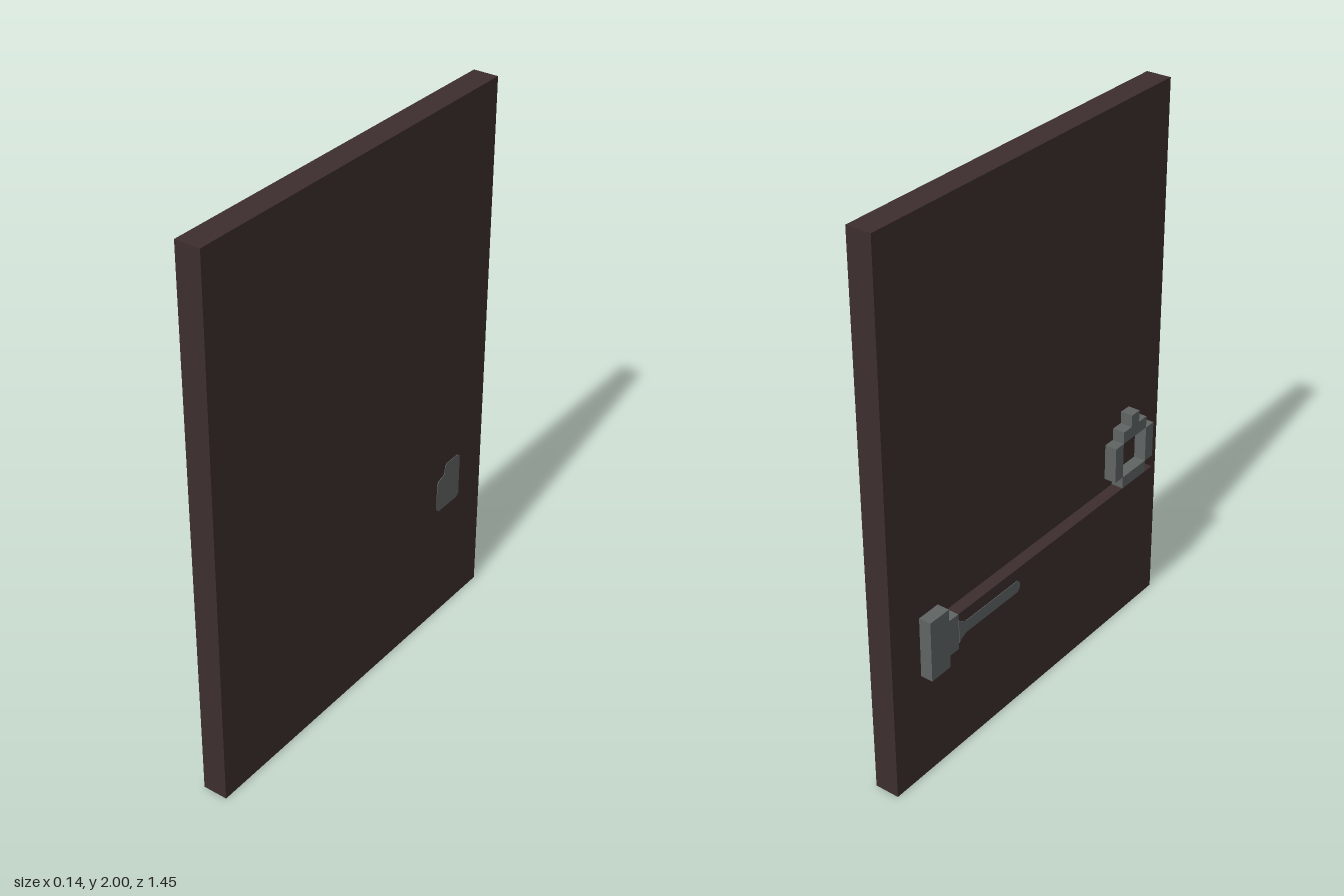
import * as THREE from 'three';

const U = 1 / 22; // one grid cell

export function createModel() {
  const wood = new THREE.MeshStandardMaterial({ color: 0x3e2e2e });
  wood.name = 'dark wood';
  const iron = new THREE.MeshStandardMaterial({ color: 0x606564 });
  iron.name = 'grey iron';

  const model = new THREE.Group();
  model.name = 'door';

  // Box given by its limits in grid cells
  function block(name, material, [x0, x1], [y0, y1], [z0, z1], parent = model) {
    const geometry = new THREE.BoxGeometry((x1 - x0) * U, (y1 - y0) * U, (z1 - z0) * U);
    const mesh = new THREE.Mesh(geometry, material);
    mesh.position.set((x0 + x1) / 2 * U, (y0 + y1) / 2 * U, (z0 + z1) / 2 * U);
    mesh.name = name;
    parent.add(mesh);
  }

  // Thin inlay with a (z, y) outline, its inner face at x
  function inlay(name, x, outline) {
    const depth = 0.002;
    const shape = new THREE.Shape(outline.map(([z, y]) => new THREE.Vector2(z * U, y * U)));
    const geometry = new THREE.ExtrudeGeometry(shape, { depth, bevelEnabled: false });
    geometry.rotateY(-Math.PI / 2);
    const mesh = new THREE.Mesh(geometry, iron);
    mesh.position.x = x > 0 ? x * U + depth : x * U;
    mesh.name = name;
    model.add(mesh);
  }

  const raised = [-1.5, -0.5];

  // Door leaf and the raised bar across it
  block('doorPanel', wood, [-0.5, 1.5], [0, 44], [-16, 16]);
  block('crossBar', wood, raised, [10, 13], [-10, 14]);

  // Strap hinge: upright plate, collar and long tongue
  block('hingePlate', iron, raised, [9, 14], [-13, -11]);
  block('hingeCollar', iron, raised, [10, 13], [-11, -10]);
  inlay('hingeTongue', -1.5, [
    [-10, 10.5], [-9.75, 10.75], [-9.25, 11], [-3.3, 11], [-3, 11.3],
    [-3, 11.7], [-3.3, 12], [-9.25, 12], [-9.75, 12.25], [-10, 12.5],
  ]);

  // Iron patch on the other face
  inlay('hingePatch', 1.5, [
    [-12.75, 10], [-10.25, 10], [-10, 10.25], [-10, 12.65], [-10.25, 12.9],
    [-10.75, 13], [-11, 13.25], [-11, 13.75], [-11.25, 14], [-12.75, 14],
    [-13, 13.75], [-13, 10.25],
  ]);

  // Stepped ring handle
  const handle = new THREE.Group();
  handle.name = 'ringHandle';
  model.add(handle);
  block('ringBottom', iron, raised, [13, 14], [10, 13], handle);
  for (const z of [9, 13]) block('ringSide', iron, raised, [14, 17], [z, z + 1], handle);
  block('ringTop', iron, raised, [17, 18], [10, 13], handle);
  block('ringTip', iron, raised, [18, 19], [11, 12], handle);

  return model;
}
